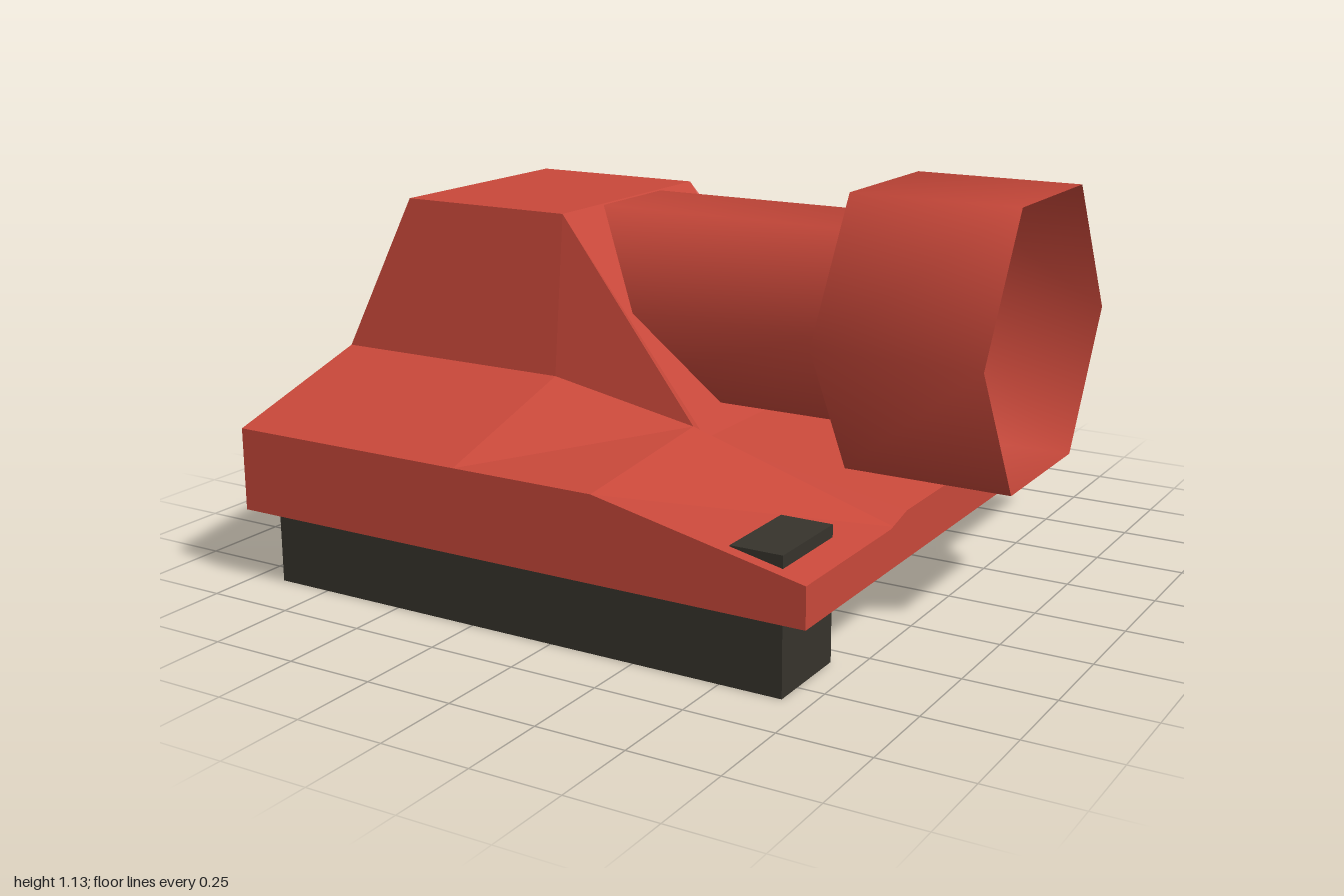
import * as THREE from 'three';

const red = new THREE.MeshStandardMaterial({ color: 0xc8483a, flatShading: true });
const redSmooth = new THREE.MeshStandardMaterial({ color: 0xc8483a, side: THREE.DoubleSide });
const dark = new THREE.MeshStandardMaterial({ color: 0x36332c });

// Loft the base plate and tower along x. Each section lists
// x, outer y, ridge y, shoulder y, then ridge z and shoulder z on the +z and -z sides.
function housingGeometry() {
  const bottom = 0.205, half = 0.865;
  const sections = [
    [-1.0, 0.44, 0.58, 0.58, 0.40, 0.40, -0.405, -0.405],
    [-0.8, 0.44, 0.58, 1.025, 0.40, 0.35, -0.405, -0.325],
    [-0.27, 0.44, 0.58, 1.025, 0.40, 0.35, -0.405, -0.325],
    [0.155, 0.44, 0.49, 0.44, 0.37, 0.305, -0.405, -0.345],
    [0.755, 0.315, 0.315, 0.338, 0.38, 0.305, -0.405, -0.345],
  ].map(([x, outer, ridge, shoulder, rz, sz, rzBack, szBack]) => [
    [x, bottom, half], [x, outer, half], [x, ridge, rz], [x, shoulder, sz],
    [x, shoulder, szBack], [x, ridge, rzBack], [x, outer, -half], [x, bottom, -half],
  ]);
  const pos = [];
  const tri = (a, b, c) => pos.push(...a, ...b, ...c);
  const n = 8;
  for (let s = 0; s < sections.length - 1; s++) {
    const a = sections[s], b = sections[s + 1];
    for (let k = 0; k < n; k++) {
      const m = (k + 1) % n;
      // the diagonals mirror each other across the two sides
      if (k === 1 || k === 4) {
        tri(a[k], b[k], b[m]);
        tri(a[k], b[m], a[m]);
      } else {
        tri(a[k], b[k], a[m]);
        tri(b[k], b[m], a[m]);
      }
    }
  }
  // end caps
  const first = sections[0], last = sections[sections.length - 1];
  for (let k = 1; k < n - 1; k++) {
    tri(first[0], first[k], first[k + 1]);
    tri(last[0], last[k + 1], last[k]);
  }
  const geo = new THREE.BufferGeometry();
  geo.setAttribute('position', new THREE.Float32BufferAttribute(pos, 3));
  geo.computeVertexNormals();
  return geo;
}

// Box given by its minimum and maximum corners
function box(name, min, max) {
  const size = max.map((v, i) => v - min[i]);
  const mesh = new THREE.Mesh(new THREE.BoxGeometry(...size), dark);
  mesh.position.set(...max.map((v, i) => (v + min[i]) / 2));
  mesh.name = name;
  return mesh;
}

export function createModel() {
  const model = new THREE.Group();
  model.name = 'model';

  const housing = new THREE.Mesh(housingGeometry(), red);
  housing.name = 'housing';
  model.add(housing);

  // Open six-sided barrel with a flared mouth, pointing along +x
  const profile = [[0.302, -0.27], [0.302, 0.48], [0.427, 0.53], [0.427, 1]]
    .map(([r, h]) => new THREE.Vector2(r, h));
  const barrel = new THREE.Mesh(new THREE.LatheGeometry(profile, 6), redSmooth);
  barrel.rotation.z = -Math.PI / 2;
  barrel.position.y = 0.76;
  barrel.name = 'barrel';
  model.add(barrel);

  // Rail under the plate and the stud that comes through its top
  model.add(box('rail', [-0.91, 0, 0.57], [0.675, 0.205, 0.83]));
  model.add(box('stud', [0.53, 0.205, 0.57], [0.675, 0.365, 0.83]));

  return model;
}
